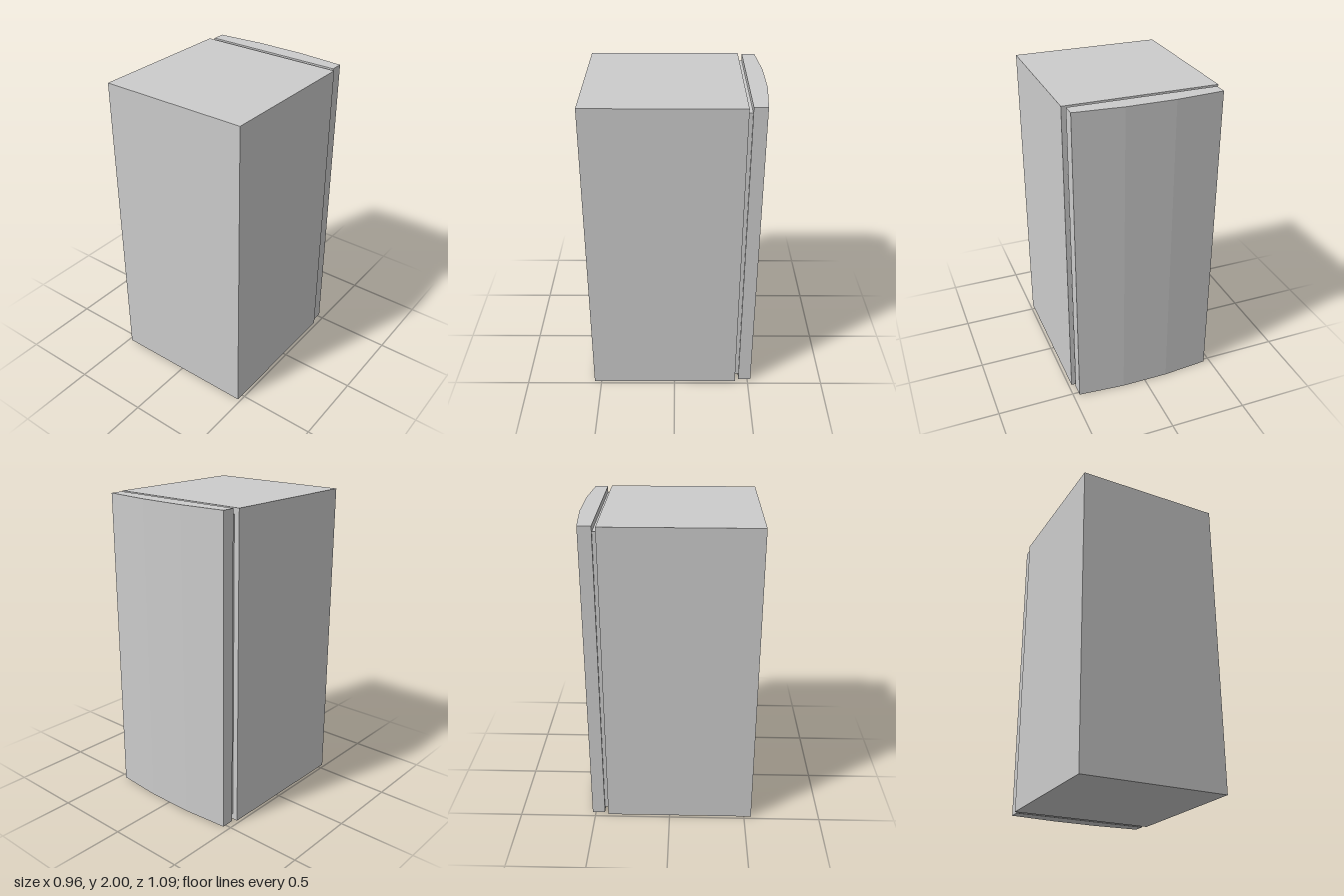
import * as THREE from 'three';

export function createModel() {
  const model = new THREE.Group();
  const material = new THREE.MeshStandardMaterial({ color: 0xcccccc, flatShading: true });

  const add = (name, geometry) => {
    const mesh = new THREE.Mesh(geometry, material);
    mesh.name = name;
    model.add(mesh);
    return mesh;
  };

  const height = 2;
  const bodyBack = -0.414, bodyFront = 0.547, doorInner = -0.439;

  // Cabinet body
  const depth = bodyFront - bodyBack;
  add('cabinet', new THREE.BoxGeometry(0.96, height, depth))
    .position.set(0, height / 2, (bodyFront + bodyBack) / 2);

  // Recessed seal between cabinet and door
  add('doorSeal', new THREE.BoxGeometry(0.89, 1.925, bodyBack - doorInner))
    .position.set(0, height / 2, (bodyBack + doorInner) / 2);

  // Door with a three-facet bowed face, drawn in plan and extruded upward
  const plan = new THREE.Shape([
    [-0.459, -doorInner], [0.459, -doorInner],
    [0.459, 0.522], [0.155, 0.547], [-0.155, 0.547], [-0.459, 0.522],
  ].map(([x, y]) => new THREE.Vector2(x, y)));
  const door = new THREE.ExtrudeGeometry(plan, { depth: height, bevelEnabled: false });
  door.rotateX(-Math.PI / 2);
  add('door', door);

  return model;
}
